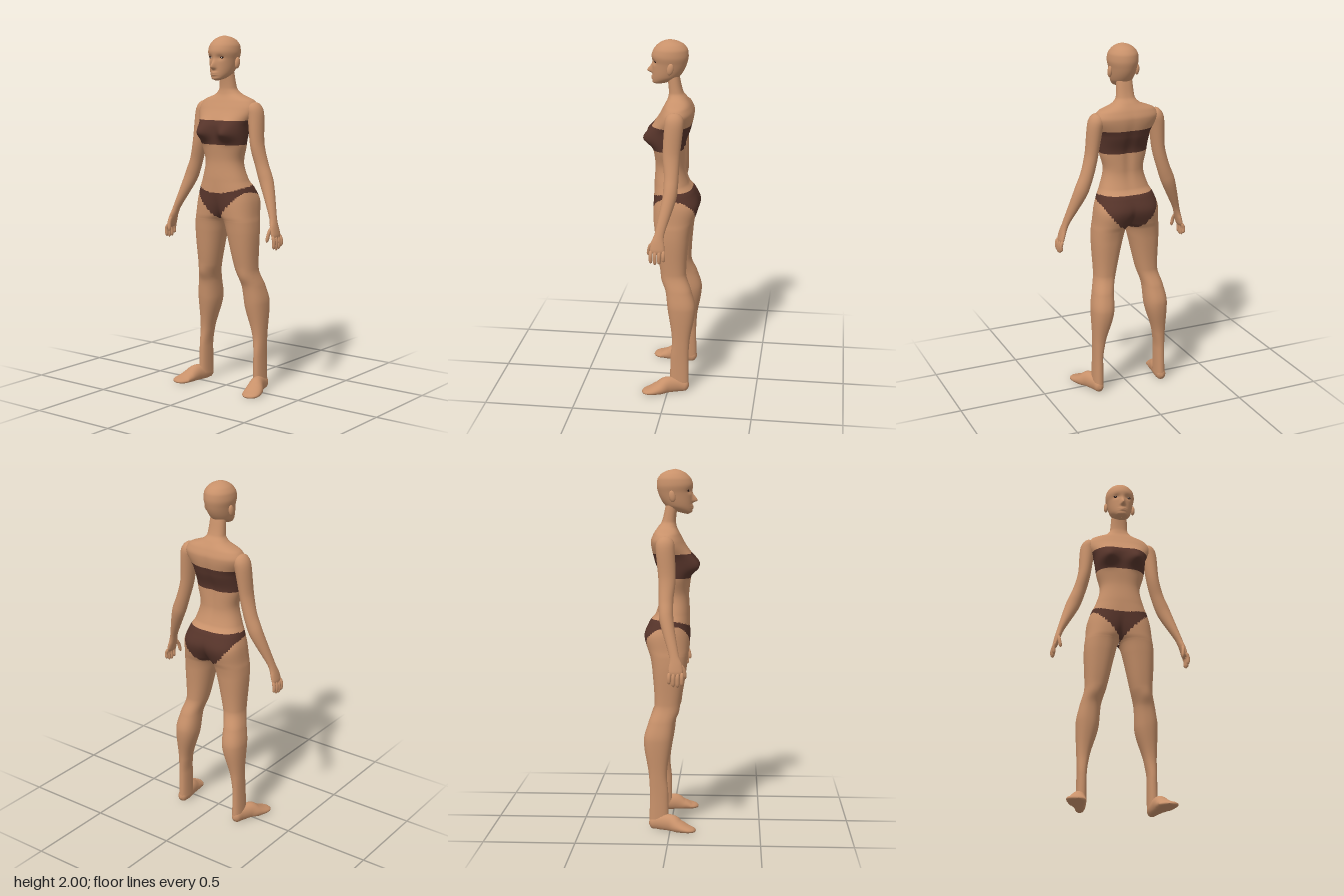
import * as THREE from 'three';

function paint(name, color) {
  const material = new THREE.MeshStandardMaterial({ color });
  material.name = name;
  return material;
}
const skin = paint('skin', 0xc8916a);
const cloth = paint('cloth', 0x56342a);
const dark = paint('lash and iris', 0x2a1814);
const white = paint('eye white', 0xd8cec4);

// Smooth monotone interpolation of table rows; column 0 is the key
function sample(table, t) {
  let k = 0;
  while (k < table.length - 2 && t > table[k + 1][0]) k++;
  const slope = (i, c) => (table[i + 1][c] - table[i][c]) / (table[i + 1][0] - table[i][0]);
  const tangent = (i, c) => {
    if (i === 0) return slope(0, c);
    if (i === table.length - 1) return slope(i - 1, c);
    const p = slope(i - 1, c), q = slope(i, c);
    return p * q <= 0 ? 0 : (2 * p * q) / (p + q);
  };
  const h = table[k + 1][0] - table[k][0];
  const s = Math.min(1, Math.max(0, (t - table[k][0]) / h));
  const s2 = s * s, s3 = s2 * s;
  return table[k].map((v, c) => c === 0 ? t
    : v * (2 * s3 - 3 * s2 + 1) + table[k + 1][c] * (3 * s2 - 2 * s3)
      + h * (tangent(k, c) * (s3 - 2 * s2 + s) + tangent(k + 1, c) * (s3 - s2)));
}

const bell = (v, c, s) => Math.exp(-(((v - c) / s) ** 2));

function build(pos, index) {
  const geo = new THREE.BufferGeometry();
  geo.setAttribute('position', new THREE.Float32BufferAttribute(pos, 3));
  geo.setIndex(index);
  geo.computeVertexNormals();
  return geo;
}

// Left half of a shape in level slices [y, inner x, outer x, front z, back z], open along x = 0
function halfLoft(table, dy, seg, p, shape, isCloth = () => false) {
  const y0 = table[0][0], rows = Math.round((table[table.length - 1][0] - y0) / dy);
  const pos = [], skinIdx = [], clothIdx = [], w = seg + 1;
  const pow = (v) => Math.sign(v) * Math.abs(v) ** p;
  for (let i = 0; i <= rows; i++) {
    const [y, xi, xo, zf, zb] = sample(table, y0 + i * dy);
    const cx = (xi + xo) / 2, r = (xo - xi) / 2, cz = (zf + zb) / 2, d = (zf - zb) / 2;
    const end = xi >= 0 ? Math.PI : Math.acos(-(Math.max(0, cx / r) ** (1 / p)));
    for (let j = 0; j <= seg; j++) {
      const a = end * (2 * j / seg - 1);
      const onMidline = xi < 0 && (j === 0 || j === seg);
      const x = onMidline ? 0 : cx + r * pow(Math.cos(a));
      const z = cz + d * pow(Math.sin(a));
      pos.push(x, y, z + shape(x, y, z));
    }
  }
  for (let i = 0; i < rows; i++) for (let j = 0; j < seg; j++) {
    const a = i * w + j, b = a + 1, d = a + w, c = d + 1;
    const [x, y, z] = [0, 1, 2].map((k) => (pos[a * 3 + k] + pos[c * 3 + k]) / 2);
    (isCloth(x, y, z) ? clothIdx : skinIdx).push(a, d, b, b, d, c);
  }
  const geo = build(pos, [...skinIdx, ...clothIdx]);
  geo.addGroup(0, skinIdx.length, 0);
  geo.addGroup(skinIdx.length, clothIdx.length, 1);
  // Blend normals over the midline and the inner leg seam
  const n = geo.attributes.normal;
  for (let i = 0; i <= rows; i++) {
    const a = i * w, b = a + seg;
    const va = new THREE.Vector3().fromBufferAttribute(n, a);
    const vb = new THREE.Vector3().fromBufferAttribute(n, b);
    if (pos[a * 3] < 1e-6) { va.x = 0; vb.x = 0; } else { va.add(vb); vb.copy(va); }
    va.normalize(); vb.normalize();
    n.setXYZ(a, va.x, va.y, va.z);
    n.setXYZ(b, vb.x, vb.y, vb.z);
  }
  return geo;
}

// Round-ended limb through stations [x, y, z, half width, half depth along ref]
function limb(stations, ref, steps, seg, floor = 0) {
  const table = stations.map((s, i) => [i, ...s]);
  const pos = [], index = [], last = table.length - 1, rows = last * steps;
  const at = (t) => new THREE.Vector3(...sample(table, t).slice(1, 4));
  for (let i = 0; i <= rows; i++) {
    const t = i / steps, s = sample(table, t);
    const dir = at(Math.min(last, t + 0.1)).sub(at(Math.max(0, t - 0.1))).normalize();
    const b = ref.clone().addScaledVector(dir, -ref.dot(dir)).normalize();
    const n = b.clone().cross(dir);
    const e = 1 - Math.min(1, Math.min(t, last - t) / 0.5);
    const round = Math.max(0.02, Math.sqrt(1 - e * e));
    for (let j = 0; j < seg; j++) {
      const a = (j / seg) * Math.PI * 2;
      const v = at(t).addScaledVector(n, s[4] * round * Math.cos(a))
        .addScaledVector(b, s[5] * round * Math.sin(a));
      pos.push(v.x, Math.max(floor, v.y), v.z);
    }
  }
  for (let i = 0; i < rows; i++) for (let j = 0; j < seg; j++) {
    const a = i * seg + j, b = i * seg + (j + 1) % seg;
    index.push(a, b, a + seg, b, b + seg, a + seg);
  }
  return build(pos, index);
}

function mirrored(geo) {
  const m = geo.clone().scale(-1, 1, 1), idx = m.index;
  for (let i = 0; i < idx.count; i += 3) {
    const b = idx.getX(i + 1);
    idx.setX(i + 1, idx.getX(i + 2));
    idx.setX(i + 2, b);
  }
  return m;
}

const ball = (x, y, z, sx, sy, sz, tilt = 0) =>
  new THREE.SphereGeometry(1, 20, 14).scale(sx, sy, sz).rotateX(tilt).translate(x, y, z);

// Slices centred on x = 0, from [y, half width, front z, back z]
const centred = ([y, w, front, back]) => [y, -w, w, front, back];

const legSlices = [
  [0.04, 0.168, 0.224, -0.01, -0.118], [0.2, 0.168, 0.221, -0.012, -0.115],
  [0.3, 0.155, 0.222, -0.02, -0.12], [0.5, 0.102, 0.229, 0.008, -0.15],
  [0.6, 0.096, 0.213, 0.02, -0.125], [0.7, 0.07, 0.191, 0.05, -0.092],
  [0.9, 0.025, 0.198, 0.082, -0.106], [0.965, 0.008, 0.195, 0.09, -0.117],
  [1.0, -0.02, 0.19, 0.096, -0.13], [1.08, -0.08, 0.183, 0.1, -0.152],
  [1.15, -0.135, 0.164, 0.1, -0.128],
];
const torsoSlices = [
  [1.2, 0.14, 0.1, -0.092], [1.3, 0.115, 0.095, -0.07], [1.4, 0.138, 0.105, -0.07],
  [1.5, 0.15, 0.113, -0.1], [1.6, 0.187, 0.066, -0.118], [1.64, 0.165, 0.045, -0.105],
  [1.68, 0.075, 0.026, -0.08], [1.71, 0.052, 0.021, -0.058], [1.8, 0.045, 0.03, -0.036],
].map(centred);
const bodyShape = (x, y, z) => {
  const front = THREE.MathUtils.smoothstep(z, 0, 0.06);
  const bust = 0.055 * bell(x, 0.085, 0.05) * bell(y, 1.465, y > 1.465 ? 0.055 : 0.042);
  const spine = z < -0.03 ? 0.01 * bell(x, 0, 0.025) * bell(y, 1.4, 0.17) : 0;
  const knee = 0.008 * bell(x, 0.145, 0.035) * bell(y, 0.65, 0.04);
  return front * bust + spine + (z > 0 ? knee : 0);
};
// Chest band and briefs
const isCloth = (x, y, z) => {
  if (y > 1.4 && y < 1.535) return true;
  const front = z > -0.02;
  const top = front ? 1.13 + 1.4 * x * x : 1.168;
  const bottom = front ? 0.975 + 1.03 * x : 0.97 + 5.5 * x * x;
  return y < top && y > Math.min(1.135, bottom);
};

// Head from chin to crown
const headSlices = [
  [1.752, 0.001, 0.09, 0.08], [1.764, 0.034, 0.112, 0.03], [1.8, 0.06, 0.112, -0.04],
  [1.87, 0.076, 0.111, -0.078], [1.91, 0.084, 0.116, -0.086], [1.94, 0.081, 0.108, -0.083],
  [1.97, 0.064, 0.085, -0.064], [1.99, 0.036, 0.053, -0.028], [2.0, 0.001, 0.018, 0.016],
].map(centred);
const headShape = (x, y, z) => {
  if (z < 0.04) return 0;
  const nose = 0.03 * bell(x, 0, 0.012) * bell(y, 1.826, y > 1.826 ? 0.03 : 0.009);
  const socket = 0.009 * bell(x, 0.034, 0.018) * bell(y, 1.879, 0.014);
  const lips = 0.007 * bell(x, 0, 0.02) * (bell(y, 1.796, 0.005) + bell(y, 1.785, 0.005));
  return nose + lips - socket;
};

// Shoulder to palm
const armStations = [
  [0.148, 1.625, -0.03, 0.03, 0.036], [0.18, 1.58, -0.03, 0.044, 0.052],
  [0.203, 1.4, -0.018, 0.036, 0.047], [0.232, 1.29, -0.022, 0.037, 0.04],
  [0.262, 1.21, -0.02, 0.04, 0.039], [0.343, 1.01, 0.026, 0.018, 0.026],
  [0.361, 0.95, 0.036, 0.016, 0.037], [0.375, 0.895, 0.037, 0.013, 0.042],
];
// Heel to toes, splayed outward
const footStations = [
  [0.197, 0.026, -0.12, 0.024, 0.03], [0.2, 0.036, -0.07, 0.03, 0.042],
  [0.218, 0.038, 0, 0.039, 0.05], [0.236, 0.024, 0.05, 0.05, 0.036],
  [0.247, 0.014, 0.1, 0.053, 0.02], [0.241, 0.008, 0.145, 0.03, 0.011],
];

export function createModel() {
  const model = new THREE.Group();
  model.name = 'figure';
  const Z = new THREE.Vector3(0, 0, 1), Y = new THREE.Vector3(0, 1, 0);
  // Each part is made once and mirrored
  const add = (name, geo, material) => {
    for (const [side, g] of [['left', geo], ['right', mirrored(geo)]]) {
      const mesh = new THREE.Mesh(g, material);
      mesh.name = side + name;
      model.add(mesh);
    }
  };
  const bodySlices = [...legSlices, ...torsoSlices];
  add('Body', halfLoft(bodySlices, 0.005, 40, 0.87, bodyShape, isCloth), [skin, cloth]);
  add('Head', halfLoft(headSlices, 0.004, 72, 1, headShape), [skin, cloth]);
  add('Ear', ball(0.081, 1.85, 0.004, 0.012, 0.032, 0.018, -0.2), skin);
  add('Lashes', ball(0.034, 1.881, 0.089, 0.016, 0.0075, 0.0065), dark);
  add('EyeWhite', ball(0.034, 1.88, 0.0895, 0.0115, 0.0045, 0.0075), white);
  add('Iris', ball(0.034, 1.88, 0.0895, 0.005, 0.0048, 0.0085), dark);
  add('Arm', limb(armStations, Z, 8, 24), skin);
  add('Foot', limb(footStations, Y, 8, 28, 0.002), skin);
  // Thumb and fingers
  const digit = (name, ...points) =>
    add(name, limb(points.map((p) => [...p, 0.0095, 0.0105]), Z, 6, 10), skin);
  digit('Thumb', [0.357, 0.97, 0.05], [0.352, 0.93, 0.08], [0.345, 0.88, 0.09]);
  for (let i = 0; i < 4; i++) {
    const z = 0.071 - 0.023 * i, tip = 0.836 + 0.006 * (i - 1.2) ** 2;
    digit('Finger' + (i + 1), [0.37, 0.92, z], [0.382, 0.885, z], [0.379, tip, z]);
  }
  return model;
}
